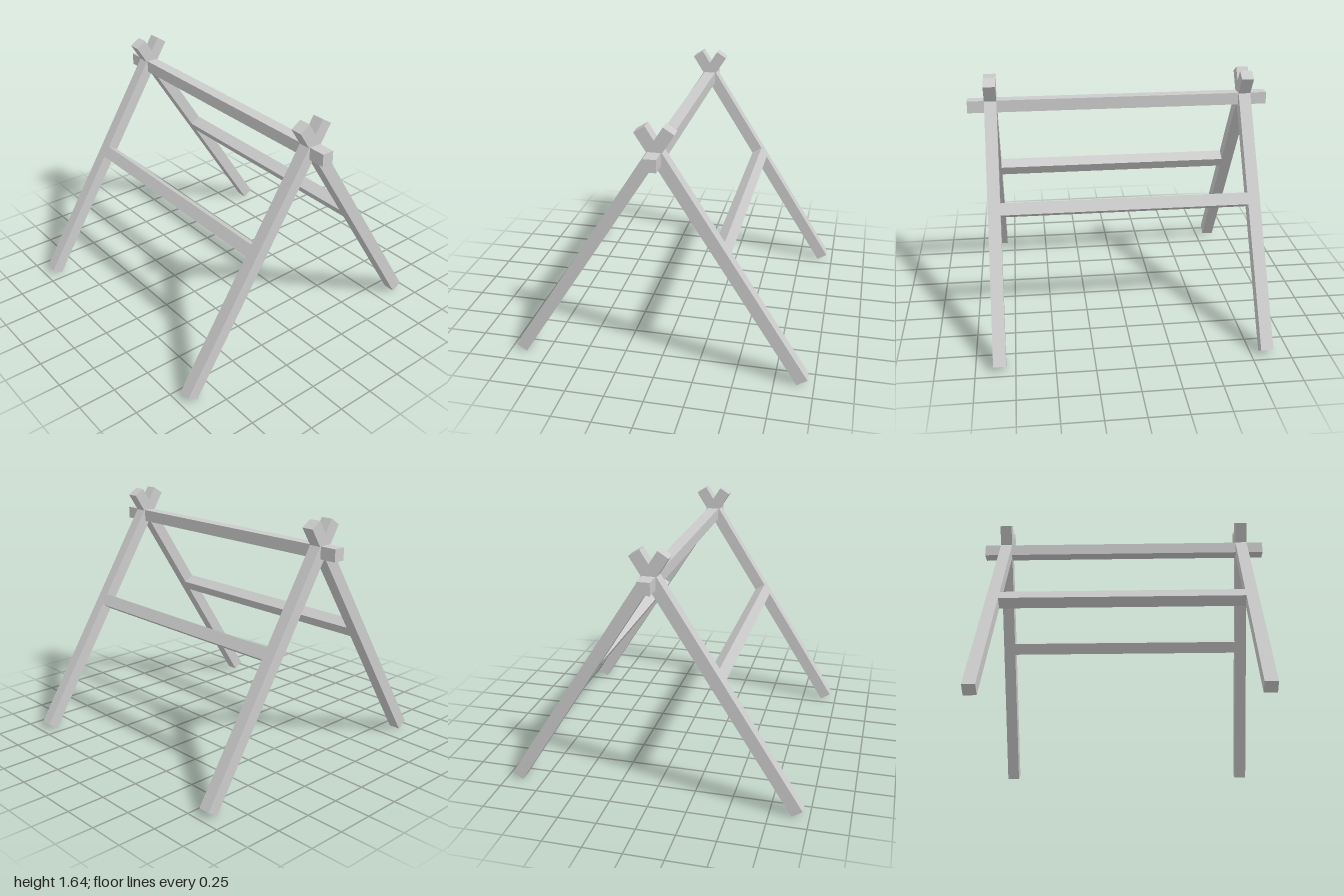
import * as THREE from 'three';

const material = new THREE.MeshStandardMaterial({ color: 0xcccccc, flatShading: true });
const T = 0.08; // timber thickness

function timber(name, w, h, d) {
  const mesh = new THREE.Mesh(new THREE.BoxGeometry(w, h, d), material);
  mesh.name = name;
  return mesh;
}

// One leaning side: two legs joined by a rail, foot towards +z
function sideFrame(name) {
  const foot = new THREE.Vector2(0.925, 0.0215); // (z, y)
  const tip = new THREE.Vector2(-0.087, 1.615);
  const tilt = Math.atan2(tip.x - foot.x, tip.y - foot.y);
  const length = foot.distanceTo(tip);

  const lean = new THREE.Group();
  lean.position.set(0, (foot.y + tip.y) / 2, (foot.x + tip.x) / 2);
  lean.rotation.x = tilt;
  for (const side of [-1, 1]) {
    const leg = timber(side > 0 ? 'leftLeg' : 'rightLeg', T, length, T);
    leg.position.x = side * 0.848;
    lean.add(leg);
  }
  // Cross rail fits between the legs, flush with their faces
  const rail = timber('crossRail', 2 * 0.848 - T, T, T);
  rail.position.y = (0.853 - lean.position.y) / Math.cos(tilt);
  lean.add(rail);

  const frame = new THREE.Group();
  frame.name = name;
  frame.add(lean);
  return frame;
}

export function createModel() {
  const model = new THREE.Group();
  model.name = 'trestleFrame';

  const front = sideFrame('frontFrame');
  const back = sideFrame('backFrame');
  back.rotation.y = Math.PI;

  // Ridge beam runs through the crossing of the legs
  const beam = timber('ridgeBeam', 2, T, T);
  beam.position.y = 1.44;

  model.add(front, back, beam);
  return model;
}
